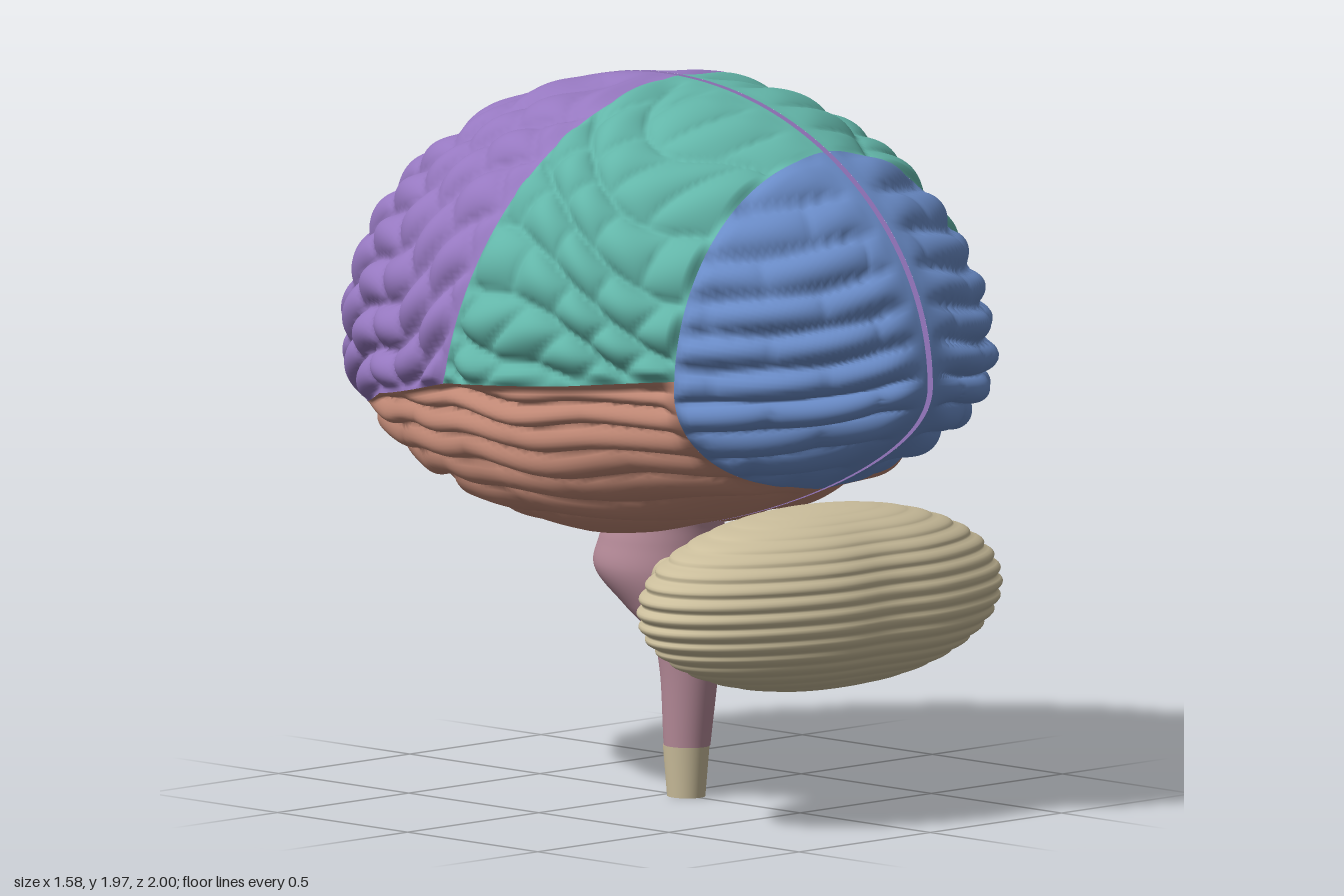
import * as THREE from 'three';
import { mergeVertices } from 'three/addons/utils/BufferGeometryUtils.js';

const { lerp, smoothstep } = THREE.MathUtils;
const PI = Math.PI;
const COLORS = {
  occipital: 0x6a8cc8, parietal: 0x62b5a8, frontal: 0x9678c0,
  temporal: 0xc08875, cerebellum: 0xcabd9b, vermis: 0xc0b18c, stem: 0xb58a98,
};

function part(name, geometry, color) {
  const mesh = new THREE.Mesh(geometry, new THREE.MeshStandardMaterial({ color }));
  mesh.name = name;
  return mesh;
}

// Smooth surface sampled from f(u, v) -> [x, y, z]
function surface(f, nu, nv, flip = false) {
  const pos = [], index = [];
  for (let i = 0; i <= nu; i++)
    for (let j = 0; j <= nv; j++) pos.push(...f(i / nu, j / nv));
  for (let i = 0; i < nu; i++)
    for (let j = 0; j < nv; j++) {
      const a = i * (nv + 1) + j, b = a + 1, c = a + nv + 1, d = c + 1;
      if (flip) index.push(a, c, b, b, c, d);
      else index.push(a, b, c, b, d, c);
    }
  let g = new THREE.BufferGeometry();
  g.setAttribute('position', new THREE.Float32BufferAttribute(pos, 3));
  g.setIndex(index);
  g = mergeVertices(g, 1e-5);
  g.computeVertexNormals();
  return g;
}

// Hemisphere body: phi runs back (+z) to front (-z), a runs from top round to underside
const GAP = 0.01, RX = 0.768, MID = 1.22;
function body(phi, a) {
  const s = Math.sin(phi), z = Math.cos(phi);
  const under = a > PI / 2;
  const ry = under ? 0.49 - 0.15 * Math.max(z, 0) : 0.75;
  // the underside is fuller in front, and both ends taper
  const power = under ? lerp(0.85, 1, smoothstep(z, 0, 0.6)) : 1;
  const taper = 1 - (z > 0 ? 0.065 : 0.045) * smoothstep(Math.abs(z), 0.1, 0.6);
  const x = RX * taper * s * Math.max(Math.sin(a), 0) ** power, y = ry * s * Math.cos(a);
  const n = new THREE.Vector3(x / RX ** 2, y / ry ** 2, z).normalize();
  return { x, y: MID + y, z, n };
}

// Angle of the groove above the temporal lobe, as [phi, angle] stops
const GROOVE = [[0.927, 1.52], [1.67, 1.63], [2.094, 1.85], [2.42, 2.18], [2.69, PI], [3.2, PI]];
function groove(phi) {
  for (let i = 1; i < GROOVE.length; i++) {
    const [p0, a0] = GROOVE[i - 1], [p1, a1] = GROOVE[i];
    if (phi <= p1) return lerp(a0, a1, Math.max(0, (phi - p0) / (p1 - p0)));
  }
  return PI;
}

// Rounded folds laid in staggered rows: q counts rows, r counts folds along a row
const ridge = (t) => Math.abs(Math.sin(PI * t)) ** 0.6;
const folds = (q, r, cut) => ridge(q) * (1 - cut + cut * ridge(r + 0.5 * Math.floor(q)));

const BACK = Math.acos(0.6), FRONT_END = Math.acos(-0.9);
const central = (v) => Math.acos(0.04 - 0.15 * v * v);

// Each lobe: where its grid lies on the body and how it folds
const LOBES = {
  occipital: {
    size: [46, 110],
    at: (u, v) => [u * BACK, v * PI],
    fold: (p) => folds((p.y + 0.02 * Math.sin(9 * p.x + 5 * p.z) + 0.05 * p.x) / 0.095,
      (p.x - 0.5 * p.z) / 0.34, 0.4),
  },
  parietal: {
    size: [62, 90],
    at: (u, v) => {
      const phi = lerp(BACK, central(v), u);
      return [phi, v * groove(phi)];
    },
    fold: (p) => folds((0.85 * p.y + 0.4 * p.z + 0.035 * Math.sin(11 * p.z + 6 * p.y)) / 0.115,
      (0.85 * p.z - 0.5 * p.y + 0.03 * Math.sin(12 * p.y)) / 0.15, 0.6),
  },
  frontal: {
    size: [90, 92],
    at: (u, v) => {
      const phi = lerp(central(v), PI, u);
      return [phi, v * groove(phi)];
    },
    fold: (p) => folds(
      (0.83 * p.y - 0.55 * p.z + 0.03 * Math.sin(9 * p.x) + 0.03 * Math.sin(11 * p.z + 4 * p.y)) / 0.115,
      (0.83 * p.z + 0.55 * p.y + 0.04 * Math.sin(8 * p.x)) / 0.17, 0.6),
  },
  temporal: {
    size: [86, 72],
    at: (u, v) => {
      const phi = lerp(BACK, FRONT_END, u);
      return [phi, lerp(groove(phi), PI, v)];
    },
    // level folds, with the flank set in below the groove
    fold: (p) => folds((p.y + 0.009 * Math.sin(9 * p.z) + 0.008 * Math.sin(17 * p.z + 8 * p.x)) / 0.072,
      (p.z + 0.5 * p.x) / 0.45, 0.25) - 0.85 * p.n.x ** 2,
  },
};

function createHemisphere(side) {
  const group = new THREE.Group();
  group.name = side > 0 ? 'leftHemisphere' : 'rightHemisphere';
  for (const [name, lobe] of Object.entries(LOBES)) {
    const f = (u, v) => {
      const p = body(...lobe.at(u, v));
      // folds fade to a shared level at lobe borders and vanish at the midline
      const w = smoothstep(Math.min(u, 1 - u, v, 1 - v), 0, 0.035);
      const depth = 0.058 * (1 - 0.35 * Math.abs(p.n.y)) * smoothstep(p.x, 0, 0.13);
      const d = depth * (lerp(0.5, lobe.fold(p), w) - 0.75);
      return [side * (GAP + p.x + d * p.n.x), p.y + d * p.n.y, p.z + d * p.n.z];
    };
    group.add(part(name + 'Lobe', surface(f, ...lobe.size, side < 0), COLORS[name]));
  }
  // flat inner wall along the central fissure
  const wall = surface((u, v) => {
    const p = body(u * PI, v * PI);
    return [side * GAP, p.y, p.z];
  }, 90, 1, side > 0);
  group.add(part('medialWall', wall, COLORS.frontal));
  return group;
}

// Stacked leaves of the cerebellum: outline of a level at polar angle t, notched at the back midline
const leaf = (t) => Math.abs(Math.sin(t)) ** 0.92 * (0.955 + 0.045 * ridge((t / PI) * 19));
const waist = (x) => 1 - 0.08 * Math.exp(-((x / 0.13) ** 2));

function createCerebellum() {
  const group = new THREE.Group();
  group.name = 'cerebellum';
  const halves = surface((u, v) => {
    const t = u * PI, lon = v * 2 * PI, c = Math.cos(lon);
    const x = -0.625 * leaf(t) * Math.sin(lon);
    return [x, 0.248 * Math.cos(t), 0.315 * leaf(t) * c * (c > 0 ? waist(x) : 1)];
  }, 132, 72);
  group.add(part('cerebellarHemispheres', halves, COLORS.cerebellum));

  // band down the back midline
  const vermis = surface((u, v) => {
    const t = lerp(0.1, 0.9, u) * PI, x = lerp(-0.075, 0.075, v);
    return [x, 0.25 * Math.cos(t), 0.315 * leaf(t) * waist(x) + 0.002];
  }, 132, 8);
  group.add(part('vermis', vermis, COLORS.vermis));
  group.position.set(0, 0.6, 0.575);
  return group;
}

function createBrainstem() {
  const group = new THREE.Group();
  group.name = 'brainstem';
  // stops: radius, height, z offset
  const spine = new THREE.CatmullRomCurve3([
    [0.066, 0.14, 0.065], [0.085, 0.36, 0.073], [0.099, 0.44, 0.064], [0.142, 0.52, 0.015],
    [0.188, 0.62, -0.037], [0.178, 0.7, -0.03], [0.165, 0.78, -0.01], [0.22, 0.92, 0], [0.01, 1.05, 0],
  ].map((p) => new THREE.Vector3(...p)));
  const stem = surface((u, v) => {
    const p = spine.getPoint(u), t = v * 2 * PI;
    return [0.92 * p.x * Math.sin(t), p.y, p.z + p.x * Math.cos(t)];
  }, 64, 36);
  group.add(part('stem', stem, COLORS.stem));

  const tip = part('spinalCord', new THREE.CylinderGeometry(0.066, 0.054, 0.14, 36), COLORS.cerebellum);
  tip.scale.x = 0.92;
  tip.position.set(0, 0.07, 0.062);
  group.add(tip);

  // stalks joining the stem to the cerebellum
  for (const side of [-1, 1]) {
    const a = new THREE.Vector3(side * 0.08, 0.618, 0.08), b = new THREE.Vector3(side * 0.23, 0.602, 0.28);
    const dir = b.clone().sub(a);
    const stalk = part('peduncle', new THREE.CylinderGeometry(0.058, 0.054, dir.length(), 24), COLORS.cerebellum);
    stalk.position.copy(a).add(b).multiplyScalar(0.5);
    stalk.quaternion.setFromUnitVectors(new THREE.Vector3(0, 1, 0), dir.normalize());
    group.add(stalk);
  }
  return group;
}

export function createModel() {
  const model = new THREE.Group();
  model.name = 'brain';
  model.add(createHemisphere(1), createHemisphere(-1), createCerebellum(), createBrainstem());
  return model;
}
